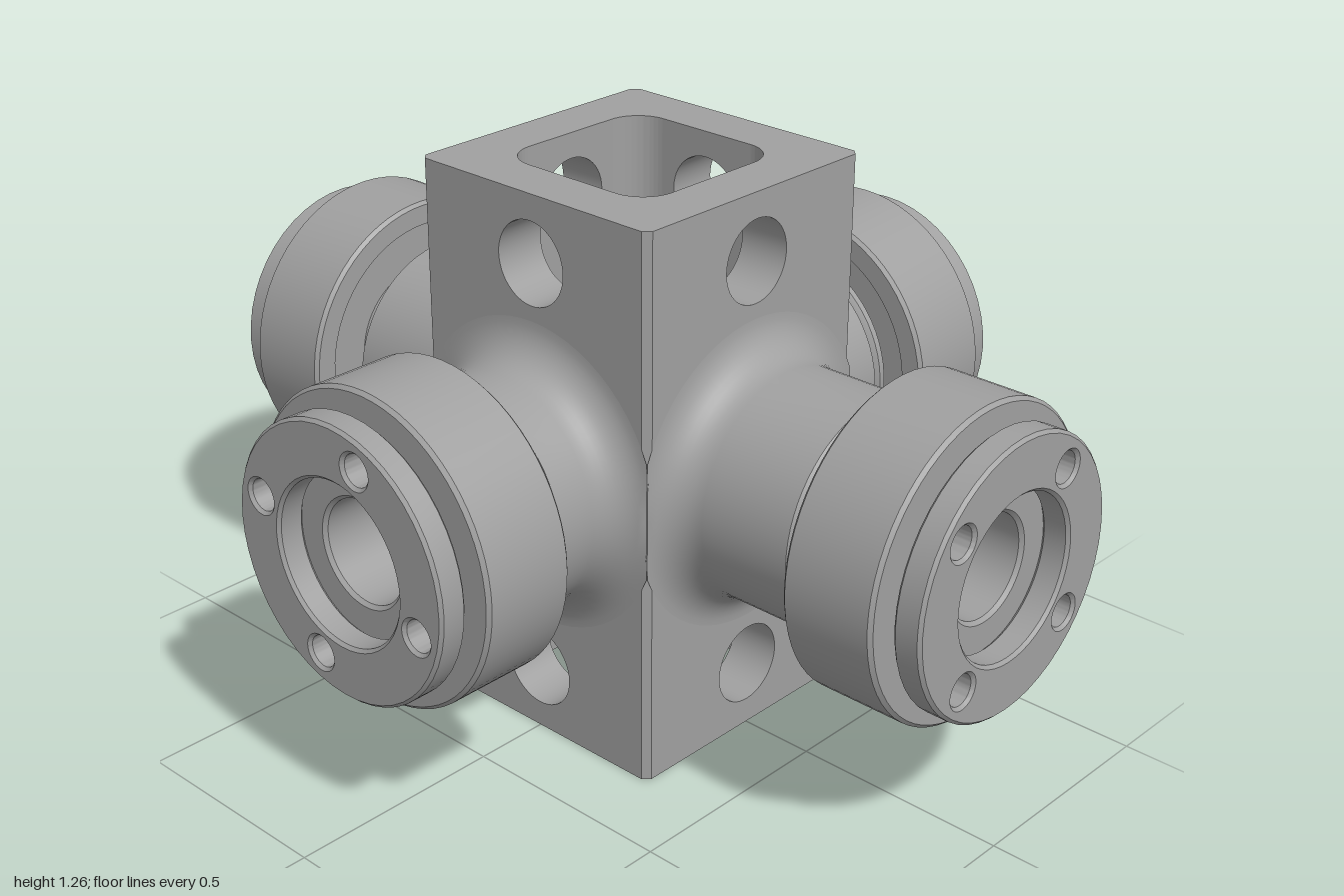
import * as THREE from 'three';
import { toCreasedNormals } from 'three/addons/utils/BufferGeometryUtils.js';

const BOTTOM = 0.005, TOP = 1.263, MID = 0.635;
const HALF = 0.325, INNER = 0.205, ROUND = 0.08;

export function createModel() {
  const root = new THREE.Group();
  root.name = 'crossJoint';
  const steel = new THREE.MeshStandardMaterial({ color: 0xa0a0a0 });
  steel.name = 'steel grey';

  const add = (parent, name, geometry) => {
    const mesh = new THREE.Mesh(toCreasedNormals(geometry, 0.5), steel);
    mesh.name = name;
    parent.add(mesh);
    return mesh;
  };
  const circle = (r, x = 0, y = 0) => new THREE.Path().absarc(x, y, r, 0, Math.PI * 2, true);
  const disc = (r) => new THREE.Shape().absarc(0, 0, r, 0, Math.PI * 2, false);
  const extrude = (shape, depth, bevel = 0) => new THREE.ExtrudeGeometry(shape, {
    depth: depth - 2 * bevel, curveSegments: 24, bevelEnabled: bevel > 0, bevelSegments: 1,
    bevelSize: bevel, bevelThickness: bevel, bevelOffset: -bevel,
  }).translate(0, 0, bevel);
  // Turned part about the z axis from [radius, distance] pairs
  const turned = (points) => new THREE.LatheGeometry(
    points.map(([r, d]) => new THREE.Vector2(r, d)), 64).rotateX(Math.PI / 2);

  // Square tube body: four drilled walls and four corner posts
  const body = new THREE.Group();
  body.name = 'body';
  root.add(body);
  const flat = INNER - ROUND;
  const corner = new THREE.Shape();
  corner.moveTo(flat, HALF);
  corner.lineTo(flat, INNER);
  corner.absarc(flat, flat, ROUND, Math.PI / 2, 0, true);
  corner.lineTo(HALF, flat);
  corner.lineTo(HALF, HALF - 0.015);
  corner.lineTo(HALF - 0.015, HALF);
  corner.closePath();
  for (let k = 0; k < 4; k++) {
    const wall = new THREE.Shape();
    wall.moveTo(-flat, BOTTOM);
    wall.lineTo(flat, BOTTOM);
    wall.lineTo(flat, TOP);
    wall.lineTo(-flat, TOP);
    wall.closePath();
    wall.holes.push(circle(0.093, 0, 0.158), circle(0.093, 0, 1.112));
    if (k % 2 === 0) wall.holes.push(circle(0.045, 0, MID));
    add(body, 'wall', extrude(wall, HALF - INNER).translate(0, 0, INNER)).rotation.y = k * Math.PI / 2;
    add(body, 'cornerPost', extrude(corner, TOP - BOTTOM).rotateX(-Math.PI / 2)
      .translate(0, BOTTOM, 0)).rotation.y = k * Math.PI / 2;
  }

  // Four arms, the x pair shorter and bolted
  for (let k = 0; k < 4; k++) {
    const bolted = k % 2 === 1;
    const end = bolted ? 0.867 : 1;
    const arm = new THREE.Group();
    arm.name = bolted ? 'sideArm' : 'longArm';
    arm.position.y = MID;
    arm.rotation.y = k * Math.PI / 2;
    root.add(arm);

    // Boss with a fillet into the body
    const profile = [];
    for (let i = 0; i <= 10; i++) {
      const a = i / 10 * Math.PI / 2;
      profile.push([0.35 - 0.09 * Math.sin(a), HALF + 0.09 * (1 - Math.cos(a))]);
    }
    profile.push([0.26, end - 0.363], [0.252, end - 0.355], [0.17, end - 0.355]);
    const boss = turned(profile);
    const pos = boss.attributes.position;
    for (let i = 0; i < pos.count; i++) {
      pos.setX(i, THREE.MathUtils.clamp(pos.getX(i), -HALF, HALF));
    }
    add(arm, 'boss', boss);

    // Hollow shaft with a stepped bore
    const floor = end - 0.4;
    add(arm, 'shaft', turned([
      [0.175, floor], [0.175, end - 0.1], [0.2, end - 0.1], [0.2, end - 0.065],
      [0.122, end - 0.065], [0.114, end - 0.073], [0.114, floor], [0.045, floor], [0.045, 0.32],
    ]));

    // Roller with a recessed back
    add(arm, 'roller', turned([
      [0.17, end - 0.27], [0.29, end - 0.27], [0.29, end - 0.302], [0.337, end - 0.302],
      [0.345, end - 0.294], [0.345, end - 0.093], [0.337, end - 0.085], [0.19, end - 0.085],
    ]));

    // End flange with four bolt holes
    const ring = disc(0.305);
    ring.holes.push(circle(0.18));
    for (let i = 0; i < 4; i++) {
      const a = THREE.MathUtils.degToRad((bolted ? 73 : 50.5) + 90 * i);
      ring.holes.push(circle(0.035, 0.24 * Math.cos(a), 0.24 * Math.sin(a)));
    }
    add(arm, 'endFlange', extrude(ring, 0.065, 0.007).translate(0, 0, end - 0.065));

    if (bolted) {
      // Tapered seal ring behind the roller
      add(arm, 'sealRing', turned([
        [0.24, 0.512], [0.25, 0.518], [0.258, 0.525], [0.258, 0.54], [0.2, 0.6],
      ]));
      // Hex socket bolt through the body wall
      const head = disc(0.092);
      const hex = new THREE.Path();
      for (let i = 0; i < 6; i++) {
        const a = -i * Math.PI / 3 + Math.PI / 6;
        hex[i ? 'lineTo' : 'moveTo'](0.052 * Math.cos(a), 0.052 * Math.sin(a));
      }
      hex.closePath();
      head.holes.push(hex);
      add(arm, 'boltHead', extrude(head, 0.08, 0.006).translate(0, 0, floor));
      add(arm, 'boltShank', new THREE.CylinderGeometry(0.055, 0.055, floor + 0.02 - 0.172, 32)
        .rotateX(Math.PI / 2).translate(0, 0, (floor + 0.02 + 0.172) / 2));
    }
  }
  return root;
}
